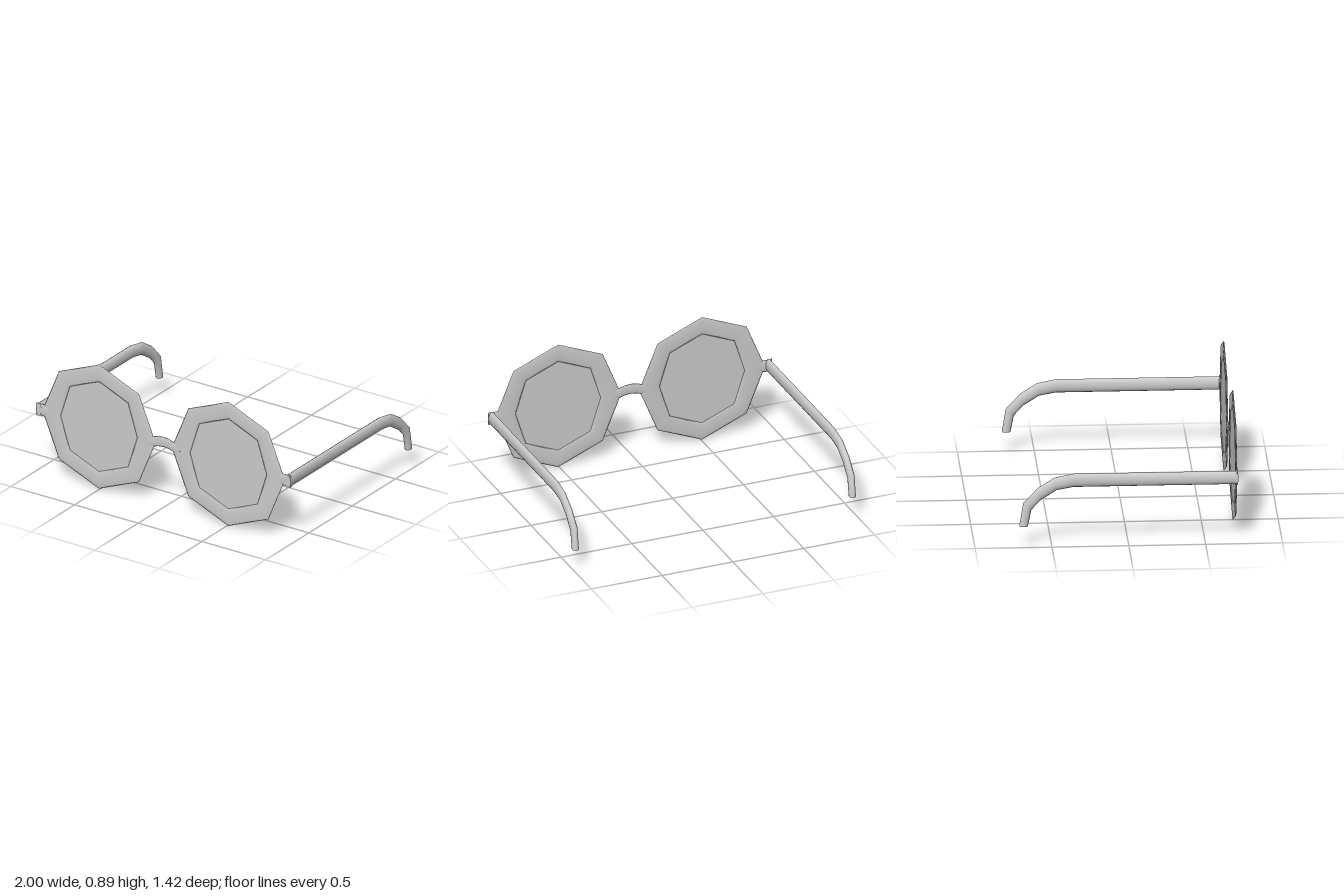
import * as THREE from 'three';

const material = new THREE.MeshStandardMaterial({ color: 0xcccccc, side: THREE.DoubleSide });
const V = (x, y, z = 0) => new THREE.Vector3(x, y, z);
const SIDES = 12;
const FRONT_Z = 0.706;
const HALF_THICK = 0.006;

// Smooth loft of elliptical sections: each section is a pair of opposite
// outline points [a, b]; depth is the half-axis perpendicular to that pair.
function loft(name, sections, depth, closed = false) {
  const pos = [], index = [];
  const ring = ([a, b]) => {
    const mid = a.clone().add(b).multiplyScalar(0.5);
    const half = a.clone().sub(b).multiplyScalar(0.5);
    for (let j = 0; j < SIDES; j++) {
      const t = (j / SIDES) * Math.PI * 2;
      const p = mid.clone().addScaledVector(half, Math.cos(t)).addScaledVector(depth, Math.sin(t));
      pos.push(p.x, p.y, p.z);
    }
  };
  sections.forEach(ring);
  const n = sections.length;
  for (let i = 0; i < (closed ? n : n - 1); i++) {
    for (let j = 0; j < SIDES; j++) {
      const k = (j + 1) % SIDES, r = i * SIDES, s = ((i + 1) % n) * SIDES;
      index.push(r + j, r + k, s + k, r + j, s + k, s + j);
    }
  }
  // Flat end caps with their own vertices
  if (!closed) {
    [sections[0], sections[n - 1]].forEach((section, end) => {
      const base = pos.length / 3;
      ring(section);
      for (let j = 1; j < SIDES - 1; j++) {
        if (end) index.push(base, base + j, base + j + 1);
        else index.push(base, base + j + 1, base + j);
      }
    });
  }
  const geometry = new THREE.BufferGeometry();
  geometry.setAttribute('position', new THREE.Float32BufferAttribute(pos, 3));
  geometry.setIndex(index);
  geometry.computeVertexNormals();
  const mesh = new THREE.Mesh(geometry, material);
  mesh.name = name;
  return mesh;
}

// Octagonal flattened rim with a thin lens in its middle plane
function eyepiece(side) {
  const group = new THREE.Group();
  group.name = side > 0 ? 'leftEyepiece' : 'rightEyepiece';
  const sections = [];
  for (let i = 0; i < 8; i++) {
    const a = (-i * Math.PI) / 4;
    const dir = V(Math.cos(a), Math.sin(a));
    const inner = i % 4 === 0 ? 0.3 : 0.322;
    sections.push([dir.clone().multiplyScalar(0.445), dir.multiplyScalar(inner)]);
  }
  group.add(loft('rim', sections, V(0, 0, HALF_THICK), true));
  const lens = new THREE.Mesh(new THREE.CircleGeometry(0.345, 8), material);
  lens.name = 'lens';
  group.add(lens);
  group.position.set(side * 0.508, 0.447, FRONT_Z);
  return group;
}

// Temple arm running back and hooking down behind the ear
function temple(side) {
  const outline = [
    [V(0, 0.494, 0.712), V(0, 0.404, 0.712)],
    [V(0, 0.494, -0.36), V(0, 0.404, -0.36)],
    [V(0, 0.47, -0.482), V(0, 0.384, -0.47)],
    [V(0, 0.402, -0.59), V(0, 0.318, -0.573)],
    [V(0, 0.298, -0.686), V(0, 0.253, -0.633)],
    [V(0, 0.142, -0.712), V(0, 0.142, -0.655)],
  ];
  const arm = loft(side > 0 ? 'leftTemple' : 'rightTemple', outline, V(0.0225, 0, 0));
  arm.position.x = side * 0.9775;
  return arm;
}

// Flat lug joining the rim to the temple
function hinge(side) {
  const lug = loft(side > 0 ? 'leftHinge' : 'rightHinge', [
    [V(0.9, 0.48), V(0.9, 0.415)],
    [V(0.935, 0.491), V(0.935, 0.408)],
    [V(1, 0.494), V(1, 0.404)],
  ], V(0, 0, HALF_THICK));
  lug.position.z = FRONT_Z;
  if (side < 0) lug.rotation.y = Math.PI;
  return lug;
}

export function createModel() {
  const model = new THREE.Group();
  model.name = 'eyeglasses';
  for (const side of [-1, 1]) model.add(eyepiece(side), temple(side), hinge(side));

  // Arched nose bridge
  const arch = [[-0.13, 0.477, 0.403], [-0.09, 0.487, 0.415], [-0.04, 0.503, 0.43], [0, 0.507, 0.435],
    [0.04, 0.503, 0.43], [0.09, 0.487, 0.415], [0.13, 0.477, 0.403]];
  const bridge = loft('bridge', arch.map(([x, top, low]) => [V(x, top), V(x, low)]), V(0, 0, HALF_THICK));
  bridge.position.z = FRONT_Z;
  model.add(bridge);
  return model;
}
